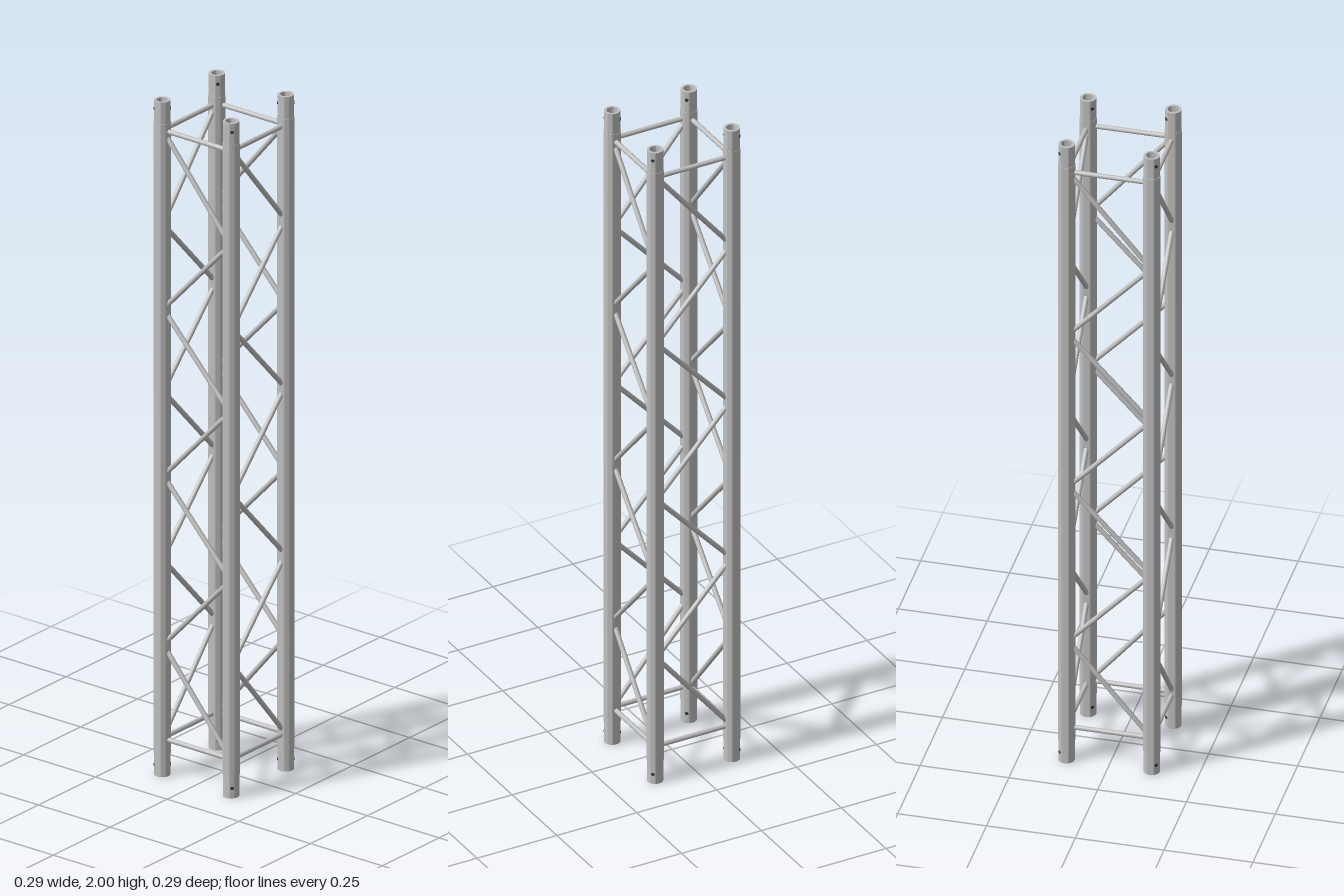
import * as THREE from 'three';
import { toCreasedNormals } from 'three/addons/utils/BufferGeometryUtils.js';

const OFFSET = 0.12;      // chord axis distance from the centre planes
const HEIGHT = 2;
const CHORD_R = 0.0238, END_R = 0.0226, BORE_R = 0.0155, END_LEN = 0.065;
const BAR_R = 0.007;

export function createModel() {
  const aluminium = new THREE.MeshStandardMaterial({ color: 0xc0c0c0 });
  aluminium.name = 'aluminium';
  const darkHole = new THREE.MeshStandardMaterial({ color: 0x3a3a3a });
  darkHole.name = 'dark hole';

  const model = new THREE.Group();
  model.name = 'boxTruss';

  // Hollow chord tube with slightly slimmer coupling ends
  const profile = [
    [BORE_R, 0], [END_R, 0], [END_R, END_LEN], [CHORD_R, END_LEN],
    [CHORD_R, HEIGHT - END_LEN], [END_R, HEIGHT - END_LEN],
    [END_R, HEIGHT], [BORE_R, HEIGHT], [BORE_R, 0],
  ].map(([r, y]) => new THREE.Vector2(r, y));
  const chordGeometry = toCreasedNormals(new THREE.LatheGeometry(profile, 32), 0.6);
  const holeGeometry = new THREE.CylinderGeometry(0.005, 0.005, 0.002, 14);

  // Round bar between two points
  function bar(name, from, to) {
    const span = to.clone().sub(from);
    const mesh = new THREE.Mesh(
      new THREE.CylinderGeometry(BAR_R, BAR_R, span.length(), 16), aluminium);
    mesh.name = name;
    mesh.position.copy(from).addScaledVector(span, 0.5);
    mesh.quaternion.setFromUnitVectors(new THREE.Vector3(0, 1, 0), span.normalize());
    return mesh;
  }

  // One side: a right-hand chord, two end bars and a zigzag of braces
  const braceCentres = [1.77, 1.505, 1.257, 1.01, 0.763, 0.51, 0.247];
  function createSide() {
    const side = new THREE.Group();

    const chord = new THREE.Mesh(chordGeometry, aluminium);
    chord.name = 'chord';
    chord.position.set(OFFSET, 0, OFFSET);
    side.add(chord);

    // Pin holes through both coupling ends, along the diagonal
    for (const y of [0.03, HEIGHT - 0.025]) {
      for (const s of [-1, 1]) {
        const hole = new THREE.Mesh(holeGeometry, darkHole);
        const out = new THREE.Vector3(s, 0, s).normalize();
        hole.name = 'pinHole';
        hole.position.set(OFFSET, y, OFFSET).addScaledVector(out, 0.0222);
        hole.quaternion.setFromUnitVectors(new THREE.Vector3(0, 1, 0), out);
        side.add(hole);
      }
    }

    const point = (x, y) => new THREE.Vector3(x, y, OFFSET);
    const reach = 0.103;
    for (const y of [0.107, 1.91]) {
      side.add(bar('endBar', point(-reach, y), point(reach, y)));
    }
    braceCentres.forEach((y, i) => {
      const isEnd = i === 0 || i === braceCentres.length - 1;
      const rise = isEnd ? 0.123 : 0.11;
      const s = i % 2 ? 1 : -1;
      side.add(bar('diagonalBrace', point(s * reach, y + rise), point(-s * reach, y - rise)));
    });
    return side;
  }

  // Four identical sides turned about the vertical axis
  ['front', 'left', 'back', 'right'].forEach((name, i) => {
    const side = createSide();
    side.name = name + 'Side';
    side.rotation.y = i * Math.PI / 2;
    model.add(side);
  });

  return model;
}
